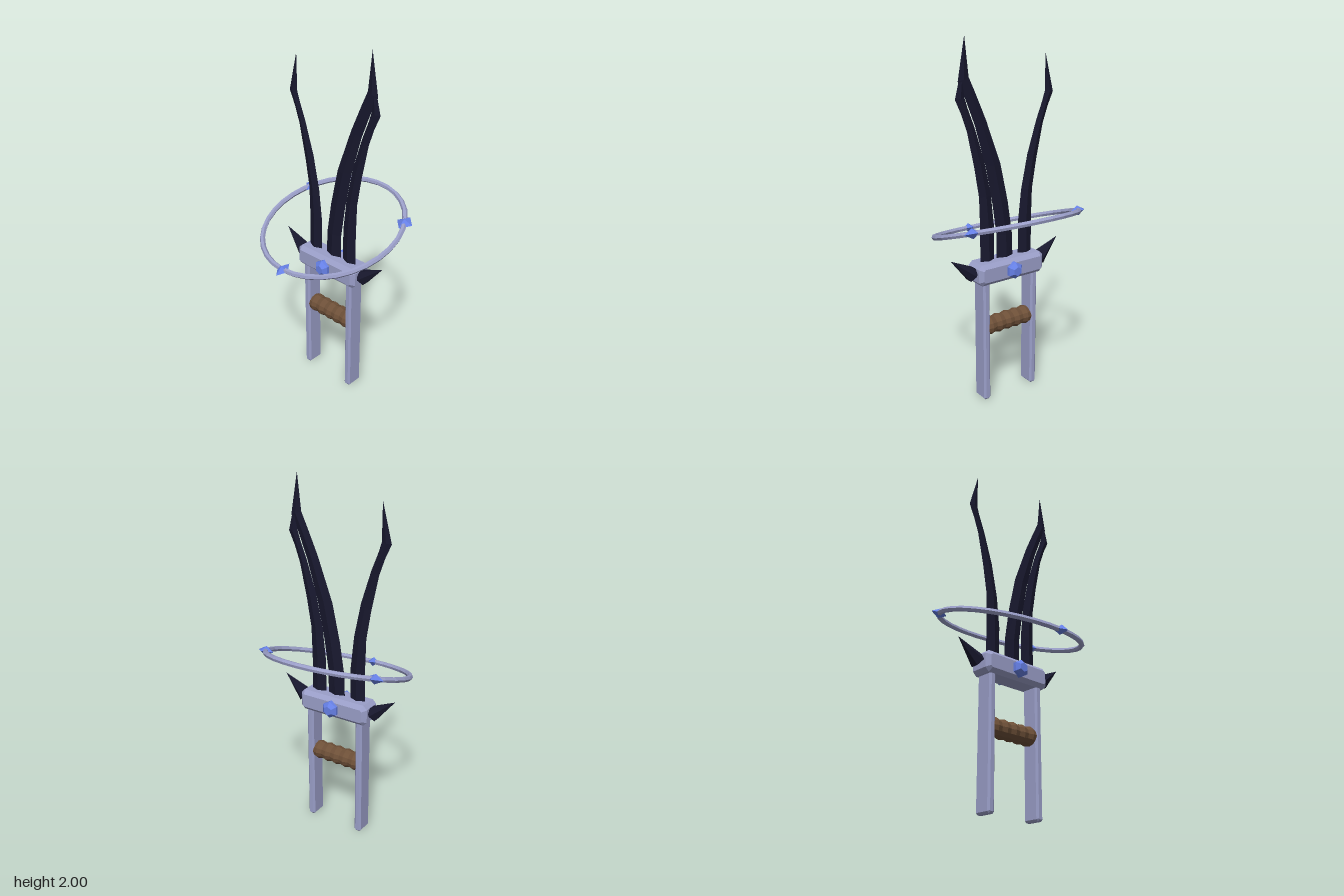
import * as THREE from 'three';

const mat = (color, extra = {}) => new THREE.MeshStandardMaterial({ color, flatShading: true, ...extra });
const steel = mat(0x9a9ec8);
const dark = mat(0x18182e);
const gem = mat(0x6680e6);
const leather = mat(0x6e5038);
const MID_Z = -0.016;

function add(parent, name, geometry, material, x = 0, y = 0, z = 0) {
  const mesh = new THREE.Mesh(geometry, material);
  mesh.name = name;
  mesh.position.set(x, y, z);
  parent.add(mesh);
  return mesh;
}

// Box with every edge cut at an angle
function chamferBox(w, h, d, c) {
  const a = w / 2, b = h / 2;
  const shape = new THREE.Shape([
    [-a + c, -b], [a - c, -b], [a, -b + c], [a, b - c],
    [a - c, b], [-a + c, b], [-a, b - c], [-a, -b + c],
  ].map(([x, y]) => new THREE.Vector2(x, y)));
  const g = new THREE.ExtrudeGeometry(shape, {
    depth: d - 2 * c, bevelEnabled: true, bevelSegments: 1,
    bevelSize: c, bevelThickness: c, bevelOffset: -c,
  });
  return g.translate(0, 0, -d / 2 + c);
}

// Blade with a diamond section; rows are [inner x, inner y, outer x, outer y, half thickness]
function bladeGeometry(rows, tip, mirror) {
  const pos = [], index = [];
  for (const [lx, ly, rx, ry, t] of rows) {
    const mx = (lx + rx) / 2, my = (ly + ry) / 2;
    pos.push(lx * mirror, ly, 0, mx * mirror, my, t, rx * mirror, ry, 0, mx * mirror, my, -t);
  }
  const tri = (a, b, c) => (mirror > 0 ? index.push(a, b, c) : index.push(a, c, b));
  const n = rows.length, end = n * 4;
  pos.push(tip[0] * mirror, tip[1], 0);
  for (let i = 0; i < n; i++) {
    for (let k = 0; k < 4; k++) {
      const a = i * 4 + k, b = i * 4 + (k + 1) % 4;
      if (i === n - 1) tri(a, b, end);
      else {
        tri(a, b, b + 4);
        tri(a, b + 4, a + 4);
      }
    }
  }
  tri(0, 2, 1);
  tri(0, 3, 2);
  const g = new THREE.BufferGeometry();
  g.setAttribute('position', new THREE.Float32BufferAttribute(pos, 3));
  g.setIndex(index);
  g.computeVertexNormals();
  return g;
}

export function createModel() {
  const model = new THREE.Group();
  model.name = 'punchDagger';

  // Guard block and the two arm bars
  add(model, 'guard', chamferBox(0.43, 0.12, 0.142, 0.022), steel, 0, 0.76, MID_Z);
  for (const s of [-1, 1]) {
    add(model, s > 0 ? 'leftBar' : 'rightBar', chamferBox(0.042, 0.73, 0.1, 0.01), steel, s * 0.161, 0.365, MID_Z);
  }

  // Wrapped grip with shallow ridges
  const profile = [new THREE.Vector2(0, -0.15)];
  for (let i = 0; i <= 20; i++) {
    profile.push(new THREE.Vector2(0.05 - 0.004 * Math.cos((i / 20) * Math.PI * 10), -0.15 + 0.015 * i));
  }
  profile.push(new THREE.Vector2(0, 0.15));
  const grip = add(model, 'grip', new THREE.LatheGeometry(profile, 12), leather, 0, 0.435, MID_Z);
  grip.rotation.z = Math.PI / 2;

  // Blades: a mirrored outer pair and a longer middle one
  const outer = [
    [0.08, 0.76, 0.172, 0.76, 0.02], [0.08, 1.0, 0.17, 1.0, 0.017],
    [0.1, 1.18, 0.175, 1.18, 0.015], [0.14, 1.37, 0.202, 1.34, 0.013],
    [0.198, 1.55, 0.243, 1.53, 0.012], [0.238, 1.65, 0.275, 1.62, 0.011],
    [0.254, 1.7, 0.31, 1.695, 0.01],
  ];
  const middle = [
    [-0.045, 0.76, 0.063, 0.76, 0.02], [-0.038, 0.95, 0.064, 0.95, 0.017],
    [-0.01, 1.13, 0.09, 1.13, 0.015], [0.037, 1.34, 0.132, 1.34, 0.013],
    [0.127, 1.58, 0.196, 1.56, 0.012], [0.19, 1.72, 0.252, 1.7, 0.011],
    [0.228, 1.8, 0.292, 1.78, 0.01],
  ];
  add(model, 'leftBlade', bladeGeometry(outer, [0.255, 1.9], 1), dark, 0, 0, MID_Z);
  add(model, 'rightBlade', bladeGeometry(outer, [0.255, 1.9], -1), dark, 0, 0, MID_Z);
  add(model, 'middleBlade', bladeGeometry(middle, [0.25, 2], 1), dark, 0, 0, MID_Z);

  // Spikes on the ends of the guard
  for (const s of [-1, 1]) {
    const spike = add(model, s > 0 ? 'leftSpike' : 'rightSpike', new THREE.ConeGeometry(0.044, 0.17, 6), dark,
      s * 0.29, 0.812, MID_Z);
    spike.rotation.z = -s * 0.92;
  }

  // Faceted studs on the front and back of the guard
  const studProfile = [[0.048, 0], [0.048, 0.022], [0.026, 0.043], [0, 0.043]]
    .map(([r, y]) => new THREE.Vector2(r, y));
  for (const s of [-1, 1]) {
    const stud = add(model, s > 0 ? 'frontStud' : 'backStud', new THREE.LatheGeometry(studProfile, 6), gem,
      0, 0.76, MID_Z + s * 0.066);
    stud.rotation.x = s * Math.PI / 2;
  }

  // Tilted halo ring carrying three cut stones
  const halo = new THREE.Group();
  halo.name = 'halo';
  halo.position.set(0, 1.005, -0.018);
  halo.rotation.x = 0.311;
  model.add(halo);
  add(halo, 'ring', new THREE.TorusGeometry(0.397, 0.015, 6, 32).rotateX(Math.PI / 2), steel);
  for (let i = 0; i < 3; i++) {
    const a = (i * 2 * Math.PI) / 3;
    const stone = add(halo, 'ringStone', new THREE.OctahedronGeometry(1), gem,
      0.397 * Math.sin(a), 0, 0.397 * Math.cos(a));
    stone.scale.set(i ? 0.05 : 0.037, 0.027, 0.05);
  }
  return model;
}
